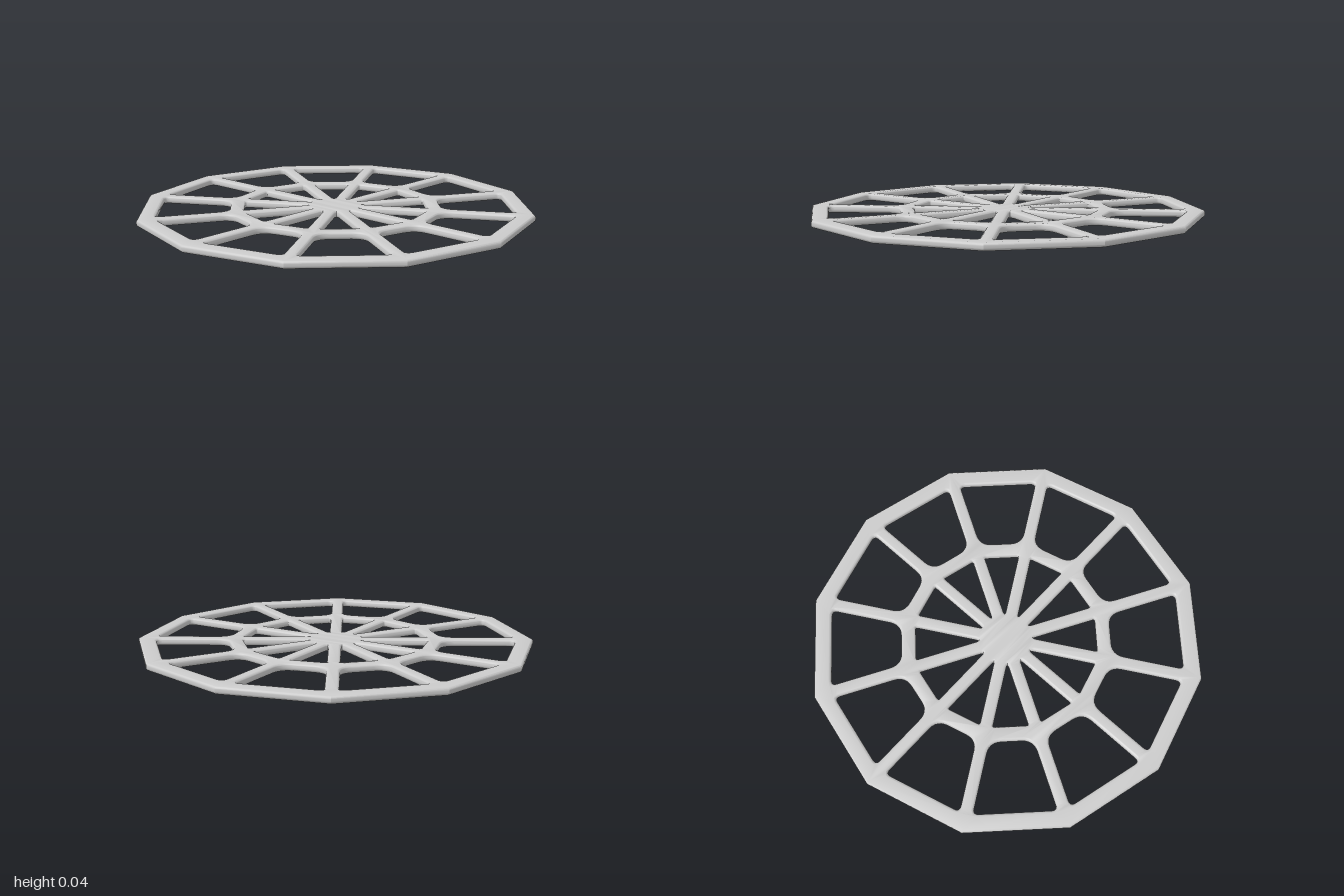
import * as THREE from 'three';
import { toCreasedNormals } from 'three/addons/utils/BufferGeometryUtils.js';

const SIDES = 12;
const STEP = (Math.PI * 2) / SIDES;
const HALF = STEP / 2;
const HEIGHT = 0.037;
const BEVEL = 0.014;
const SPOKE_HALF = 0.032;

// Corner of a cell: distance along its middle line, on one side of it
function cellCorner(distance, side, angle) {
  const v = side * (distance * Math.tan(HALF) - SPOKE_HALF / Math.cos(HALF));
  return new THREE.Vector2(distance, v).rotateAround(new THREE.Vector2(), angle);
}

// Closed outline whose corners are rounded over the given cut lengths
function roundedOutline(corners, cuts) {
  const path = new THREE.Path();
  corners.forEach((p, i) => {
    const n = corners.length;
    const toward = (q) => p.clone().add(q.clone().sub(p).setLength(cuts[i]));
    const a = toward(corners[(i + n - 1) % n]);
    const b = toward(corners[(i + 1) % n]);
    if (i === 0) path.moveTo(a.x, a.y);
    else path.lineTo(a.x, a.y);
    path.quadraticCurveTo(p.x, p.y, b.x, b.y);
  });
  path.closePath();
  return path;
}

export function createModel() {
  const group = new THREE.Group();
  group.name = 'spokedWheel';

  // Twelve-sided outer rim
  const plate = new THREE.Shape();
  for (let i = 0; i < SIDES; i++) {
    const x = Math.cos(i * STEP), y = Math.sin(i * STEP);
    if (i === 0) plate.moveTo(x, y);
    else plate.lineTo(x, y);
  }
  plate.closePath();

  // Openings between the spokes, outside and inside the inner ring
  for (let i = 0; i < SIDES; i++) {
    const angle = i * STEP + HALF;
    const corner = (d, s) => cellCorner(d, s, angle);
    plate.holes.push(roundedOutline(
      [corner(0.53, -1), corner(0.882, -1), corner(0.882, 1), corner(0.53, 1)],
      [0.06, 0.03, 0.03, 0.06]));
    plate.holes.push(roundedOutline(
      [corner(SPOKE_HALF / Math.sin(HALF), 0), corner(0.457, -1), corner(0.457, 1)],
      [0.03, 0.012, 0.012]));
  }

  // Rounded edges cut inward, so the outlines keep their size
  const geometry = new THREE.ExtrudeGeometry(plate, {
    depth: HEIGHT - 2 * BEVEL,
    bevelThickness: BEVEL,
    bevelSize: BEVEL,
    bevelOffset: -BEVEL,
    bevelSegments: 5,
    curveSegments: 6,
  });
  geometry.translate(0, 0, BEVEL);
  geometry.rotateX(-Math.PI / 2);

  const wheel = new THREE.Mesh(
    toCreasedNormals(geometry, 0.5),
    new THREE.MeshStandardMaterial({ color: 0xcccccc }));
  wheel.name = 'rimSpokesAndRing';
  group.add(wheel);
  return group;
}
